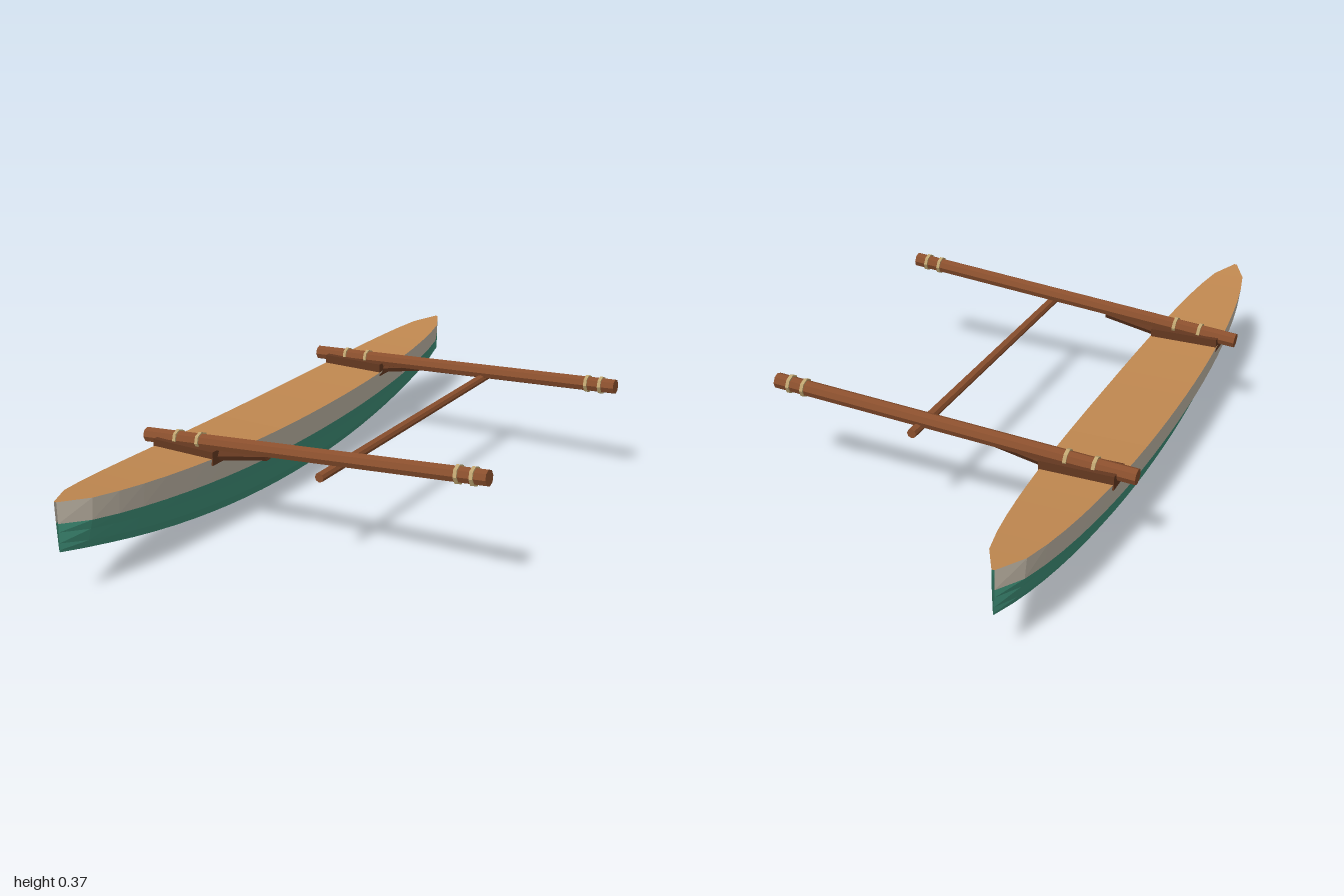
import * as THREE from 'three';

const mat = (name, color, side = THREE.FrontSide) => {
  const m = new THREE.MeshStandardMaterial({ color, flatShading: true, side });
  m.name = name;
  return m;
};

export function createModel() {
  const teal = mat('teal paint', 0x43987f, THREE.DoubleSide);
  const cream = mat('cream paint', 0xc6bcac, THREE.DoubleSide);
  const deckWood = mat('deck wood', 0xc08850, THREE.DoubleSide);
  const wood = mat('beam wood', 0x8a4f2d);
  const darkWood = mat('dark wood', 0x643820);
  const rope = mat('rope', 0xbfa570);

  const model = new THREE.Group();
  model.name = 'outriggerCanoe';
  const add = (name, geometry, material, parent = model) => {
    const mesh = new THREE.Mesh(geometry, material);
    mesh.name = name;
    parent.add(mesh);
    return mesh;
  };

  // Hull lines along z: half width, sheer, paint seam and keel heights
  const CX = -0.395, STATIONS = 24;
  const width = z => Math.max(0.004, 0.115 * Math.sqrt(Math.max(0, 1 - Math.abs(z) ** 2.2)));
  const sheer = z => 0.23 + (z > 0 ? 0.055 : 0.04) * z * z;
  const seam = z => 0.15 + (z > 0 ? 0.075 : 0.065) * z * z;
  const keel = z => 0.002 + 0.143 * z * z;

  // Skin through one cross-section per station
  const loft = section => {
    const pos = [], idx = [];
    let n = 0;
    for (let i = 0; i <= STATIONS; i++) {
      const z = -1 + (2 * i) / STATIONS;
      const pts = section(z);
      n = pts.length;
      for (const [x, y] of pts) pos.push(CX + x, y, z);
    }
    for (let i = 0; i < STATIONS; i++) {
      for (let j = 0; j < n - 1; j++) {
        const a = i * n + j, b = a + 1, c = a + n, d = c + 1;
        idx.push(a, c, b, b, c, d);
      }
    }
    const g = new THREE.BufferGeometry();
    g.setAttribute('position', new THREE.Float32BufferAttribute(pos, 3));
    g.setIndex(idx);
    g.computeVertexNormals();
    return g;
  };

  // Bottom profile: [fraction of half width, fraction of height from keel to seam]
  const profile = [[0.88, 1], [0.7, 0.7], [0.5, 0.32], [0.3, 0.08], [0, 0]];
  const fullProfile = [
    ...profile.map(([x, y]) => [-x, y]),
    ...profile.slice(0, -1).reverse(),
  ];
  add('hullBottom', loft(z => fullProfile.map(([x, y]) => [
    x * width(z), keel(z) + y * (seam(z) - keel(z)),
  ])), teal);
  for (const s of [-1, 1]) {
    const corners = z => [[s * width(z), sheer(z)], [s * width(z) * 0.88, seam(z)]];
    add(s > 0 ? 'leftTopStrake' : 'rightTopStrake',
      loft(z => s > 0 ? corners(z).reverse() : corners(z)), cream);
  }
  add('deck', loft(z => [[width(z), sheer(z)], [-width(z), sheer(z)]]), deckWood);

  // Round pole between two points
  const pole = (name, a, b, radius, material, parent, sides = 8) => {
    const dir = b.clone().sub(a);
    const mesh = add(name, new THREE.CylinderGeometry(radius, radius, dir.length(), sides),
      material, parent);
    mesh.position.copy(a).add(b).multiplyScalar(0.5);
    mesh.quaternion.setFromUnitVectors(new THREE.Vector3(0, 1, 0), dir.normalize());
    return mesh;
  };

  // Cross beams with saddle, brace and rope lashings
  const beams = [
    { name: 'frontBeam', z: 0.453, x: 0.545, y0: 0.256, y1: 0.351, ties: [0.46, 0.505] },
    { name: 'rearBeam', z: -0.453, x: 0.52, y0: 0.256, y1: 0.317, ties: [0.43, 0.475] },
  ];
  for (const { name, z, x, y0, y1, ties } of beams) {
    const group = new THREE.Group();
    group.name = name;
    model.add(group);
    const at = px => new THREE.Vector3(px, y0 + (y1 - y0) * (px + 0.55) / (x + 0.55), z);
    pole('beam', at(-0.55), at(x), 0.0225, wood, group);
    for (const t of [-0.436, -0.357, ...ties]) {
      pole('lashing', at(t - 0.005), at(t + 0.005), 0.027, rope, group);
    }
    const saddle = add('saddle', new THREE.BoxGeometry(0.21, 0.04, 0.076), darkWood, group);
    saddle.position.set(CX, 0.244, z);
    pole('brace', new THREE.Vector3(-0.33, 0.237, z), new THREE.Vector3(-0.13, 0.276, z),
      0.016, darkWood, group, 6);
  }

  // Long rod tying the beams together
  pole('spreaderRod', new THREE.Vector3(0.072, 0.27, -0.505),
    new THREE.Vector3(0.072, 0.27, 0.505), 0.0135, wood, model);

  return model;
}
